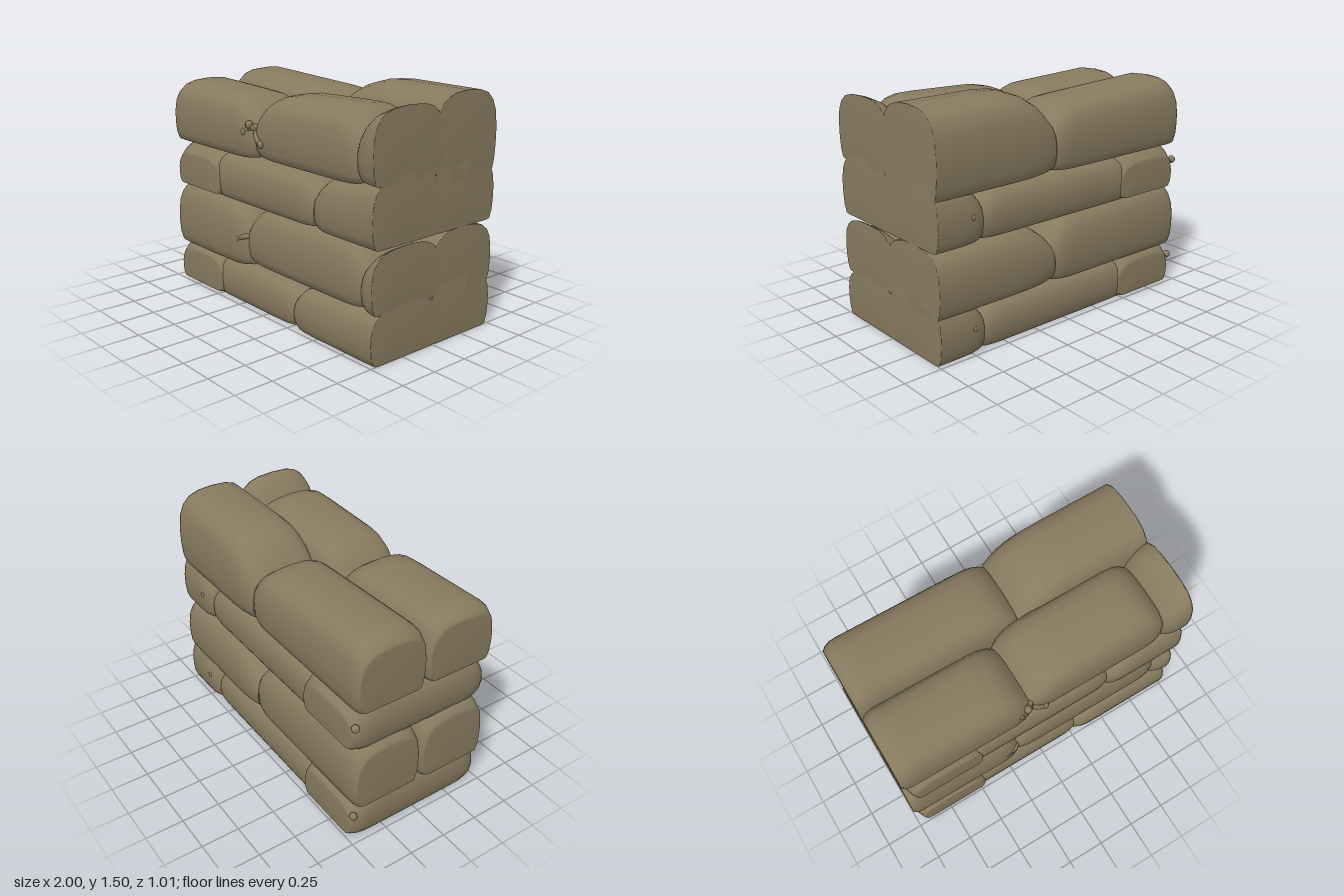
import * as THREE from 'three';

const sacking = new THREE.MeshStandardMaterial({ color: 0x877a5f });
sacking.name = 'tan sacking';

// Half of the bag section: [across, up], flat underneath and domed above
const half = [[0.4, 0], [0.8, 0], [0.9, 0.015], [0.97, 0.14], [1, 0.33], [1, 0.52], [0.95, 0.72],
  [0.84, 0.85], [0.66, 0.94], [0.4, 0.985]];
const section = [...half, [0, 1], ...half.slice().reverse().map(([u, v]) => [-u, v])];

// End shapes: tip height, tip width, length of the taper
const CUT = [1, 1, 0.1];
const FLAT = [0.8, 0.9, 0.13];
const ROUND = [0.5, 0.82, 0.32];
const SOFT = [0.62, 0.85, 0.25];
const SLOPE = [0.55, 0.9, 0.42];

// Lofted bag along x: [x0, x1], [y0, top at start, top at end], [z0, z1]
function bagGeometry([x0, x1], [y0, ta, tb], [z0, z1], ends) {
  const len = x1 - x0;
  const steps = [0, 0.008, 0.025, 0.06, 0.11, 0.18, 0.27, 0.38].filter((d) => d < len * 0.48);
  const xs = [...steps.map((d) => x0 + d), (x0 + x1) / 2, ...steps.map((d) => x1 - d).reverse()];
  const taper = (tip, d, L, p) => 1 - (1 - tip) * Math.pow(Math.max(0, 1 - d / L), p);
  const pos = [], index = [], n = section.length;
  const ring = (x) => {
    const ds = [x - x0, x1 - x];
    let h = 1, w = 1;
    ends.forEach(([th, tw, L], k) => {
      h *= taper(th, ds[k], L, 3);
      w *= taper(tw, ds[k], L * 0.6, 3);
    });
    const tall = THREE.MathUtils.lerp(ta, tb, ds[0] / len) - y0;
    const lift = (1 - h) * 0.12 * tall;
    return { h: tall * h, w: (z1 - z0) / 2 * w, y: y0 + lift, z: (z0 + z1) / 2 };
  };
  xs.forEach((x) => {
    const r = ring(x);
    section.forEach(([u, v]) => pos.push(x, r.y + v * r.h, r.z + u * r.w));
  });
  for (let i = 0; i < xs.length - 1; i++) {
    for (let j = 0; j < n; j++) {
      const k = (j + 1) % n, a = i * n, b = a + n;
      index.push(a + j, b + j, b + k, a + j, b + k, a + k);
    }
  }
  // Closed ends
  [x0, x1].forEach((x, e) => {
    const r = ring(x), c = pos.length / 3, base = e ? (xs.length - 1) * n : 0;
    pos.push(x, r.y + r.h * 0.5, r.z);
    for (let j = 0; j < n; j++) {
      const p = base + j, q = base + (j + 1) % n;
      index.push(c, e ? q : p, e ? p : q);
    }
  });
  const g = new THREE.BufferGeometry();
  g.setAttribute('position', new THREE.Float32BufferAttribute(pos, 3));
  g.setIndex(index);
  g.computeVertexNormals();
  return g;
}

export function createModel() {
  const model = new THREE.Group();
  model.name = 'sandbagWall';
  const add = (name, geometry) => {
    const mesh = new THREE.Mesh(geometry, sacking);
    mesh.name = name;
    model.add(mesh);
    return mesh;
  };

  // Bags lying along the wall
  const bags = [
    ['firstRowFrontMiddle', [-0.6, 0.31], [0, 0.295, 0.295], [-0.01, 0.48], [SOFT, SOFT]],
    ['firstRowFrontEnd', [0.27, 1], [0, 0.31, 0.33], [-0.04, 0.5], [SOFT, CUT]],
    ['firstRowBackMiddle', [-0.6, 0.7], [0, 0.29, 0.29], [-0.48, 0.01], [SOFT, SOFT]],
    ['firstRowBackEnd', [0.65, 1], [0, 0.36, 0.375], [-0.5, 0.03], [SOFT, CUT]],
    ['secondRowFrontStart', [-1, -0.18], [0.26, 0.73, 0.7], [0, 0.49], [FLAT, SOFT]],
    ['secondRowFrontMiddle', [-0.23, 0.9], [0.3, 0.71, 0.71], [-0.03, 0.48], [ROUND, SOFT]],
    ['secondRowFrontEnd', [0.87, 1], [0.3, 0.69, 0.69], [-0.04, 0.5], [SOFT, CUT]],
    ['secondRowBackStart', [-1, 0.13], [0.27, 0.735, 0.69], [-0.49, 0], [FLAT, SOFT]],
    ['secondRowBackEnd', [0.1, 1], [0.28, 0.7, 0.685], [-0.5, 0.02], [SLOPE, CUT]],
    ['thirdRowFrontMiddle', [-0.6, 0.5], [0.685, 1, 1], [-0.01, 0.48], [SOFT, SOFT]],
    ['thirdRowFrontEnd', [0.46, 1], [0.685, 1.02, 1.085], [-0.04, 0.5], [SOFT, CUT]],
    ['thirdRowBackMiddle', [-0.6, 0.7], [0.685, 0.99, 0.99], [-0.48, 0.01], [SOFT, SOFT]],
    ['thirdRowBackEnd', [0.65, 1], [0.685, 1.06, 1.08], [-0.5, 0.03], [SOFT, CUT]],
    ['topRowFrontStart', [-1, -0.1], [0.99, 1.41, 1.37], [0, 0.49], [FLAT, SOFT]],
    ['topRowFrontMiddle', [-0.13, 0.85], [1.01, 1.41, 1.44], [-0.03, 0.48], [ROUND, SOFT]],
    ['topRowFrontEnd', [0.83, 1], [1.04, 1.47, 1.47], [-0.04, 0.5], [SOFT, CUT]],
    ['topRowBackStart', [-1, 0.13], [0.98, 1.44, 1.385], [-0.49, 0], [FLAT, SOFT]],
    ['topRowBackEnd', [0.1, 1], [0.98, 1.5, 1.495], [-0.5, 0.02], [SLOPE, CUT]],
  ];
  bags.forEach(([name, ...shape]) => add(name + 'Bag', bagGeometry(...shape)));

  // Tied neck: a short bent cord with a knob at its tip
  const tie = (name, points) => {
    const path = points.map((p) => new THREE.Vector3(...p));
    add(name, new THREE.TubeGeometry(new THREE.CatmullRomCurve3(path), 6, 0.017, 7));
    const knob = new THREE.SphereGeometry(0.026, 8, 6);
    add(name + 'Knob', knob).position.copy(path[path.length - 1]);
  };

  // Crosswise bags at the wall's end, with their ties, on rows one and three
  [0, 0.685].forEach((y, i) => {
    const row = i ? 'thirdRow' : 'firstRow';
    add(row + 'CrosswiseBag', bagGeometry([-0.49, 0.49], [y, y + 0.345, y + 0.35],
      [-0.98, -0.43], [SOFT, SOFT]).rotateY(Math.PI / 2));
    tie(row + 'CrosswiseTie', [[-0.86, y + 0.17, -0.43], [-0.92, y + 0.17, -0.46], [-0.96, y + 0.19, -0.47]]);
    add(row + 'BackKnob', new THREE.SphereGeometry(0.022, 8, 6)).position.set(0.75, y + 0.17, -0.485);
  });

  // Ties on the front joints
  tie('secondRowTie', [[-0.17, 0.48, 0.42], [-0.22, 0.47, 0.47], [-0.28, 0.445, 0.47]]);
  tie('topRowUpperTie', [[-0.08, 1.2, 0.42], [-0.13, 1.2, 0.46], [-0.19, 1.165, 0.472]]);
  tie('topRowKnot', [[-0.1, 1.17, 0.42], [-0.12, 1.2, 0.46], [-0.14, 1.215, 0.472]]);
  tie('topRowLowerTie', [[-0.1, 1.17, 0.45], [-0.06, 1.135, 0.475], [-0.02, 1.11, 0.473]]);
  return model;
}
